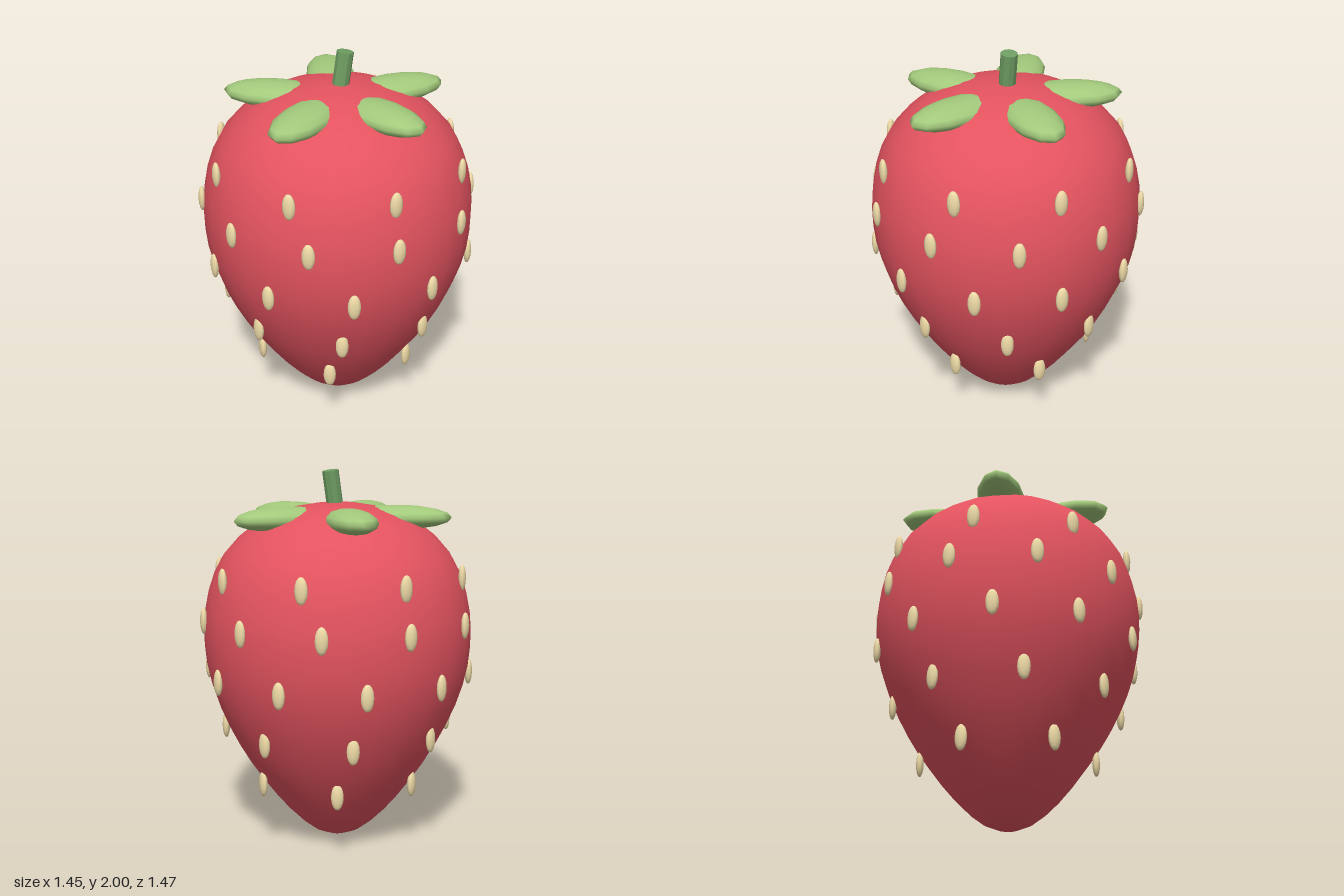
import * as THREE from 'three';

const mat = (color, flatShading = false) => new THREE.MeshStandardMaterial({ color, flatShading });

export function createModel() {
  const model = new THREE.Group();
  const add = (name, geometry, material, parent = model) => {
    const mesh = new THREE.Mesh(geometry, material);
    mesh.name = name;
    parent.add(mesh);
    return mesh;
  };

  // Fruit body: smooth turned profile, narrow at the bottom
  const outline = [
    [0, 0], [0.1, 0.025], [0.2, 0.095], [0.31, 0.21], [0.42, 0.355], [0.51, 0.49],
    [0.595, 0.65], [0.66, 0.81], [0.7, 0.97], [0.712, 1.12], [0.705, 1.26], [0.668, 1.42],
    [0.6, 1.56], [0.475, 1.69], [0.33, 1.77], [0.17, 1.815], [0, 1.83],
  ];
  const curve = new THREE.SplineCurve(outline.map(([r, y]) => new THREE.Vector2(r, y)));
  const profile = curve.getPoints(24);
  profile[0].x = profile[24].x = 0;
  add('fruitBody', new THREE.LatheGeometry(profile, 28), mat(0xe3535f));

  // Seeds: rings of small upright ellipsoids [height, radius, count, starting angle from +x]
  const seeds = new THREE.Group();
  seeds.name = 'seeds';
  model.add(seeds);
  const seedGeometry = new THREE.SphereGeometry(1, 10, 8).scale(0.02, 0.07, 0.034);
  const seedMaterial = mat(0xf0dca8);
  const rings = [
    [1.45, 0.668, 8, 0],
    [1.22, 0.715, 10, Math.PI / 10],
    [0.935, 0.704, 10, 0],
    [0.64, 0.605, 8, Math.PI / 8],
    [0.355, 0.455, 6, 0],
  ];
  for (const [y, radius, count, start] of rings) {
    for (let i = 0; i < count; i++) {
      const a = start + (i / count) * Math.PI * 2;
      const seed = add('seed', seedGeometry, seedMaterial, seeds);
      seed.position.set(radius * Math.cos(a), y, radius * Math.sin(a));
      seed.rotation.y = -a;
    }
  }

  // Leaves: five flattened ellipsoids radiating from the stem
  const leaves = new THREE.Group();
  leaves.name = 'leaves';
  model.add(leaves);
  const leafGeometry = new THREE.SphereGeometry(1, 12, 8).scale(0.28, 0.064, 0.13).translate(0.32, 1.752, 0);
  const leafMaterial = mat(0xa3ca7c);
  for (let i = 0; i < 5; i++) {
    add('leaf', leafGeometry, leafMaterial, leaves).rotation.y = (i / 5) * Math.PI * 2;
  }

  // Stem: short faceted cylinder leaning to one side
  const stem = add('stem', new THREE.CylinderGeometry(0.044, 0.044, 0.22, 10), mat(0x6f9e63, true));
  stem.position.set(0.026, 1.885, 0);
  stem.rotation.z = -0.15;

  return model;
}
